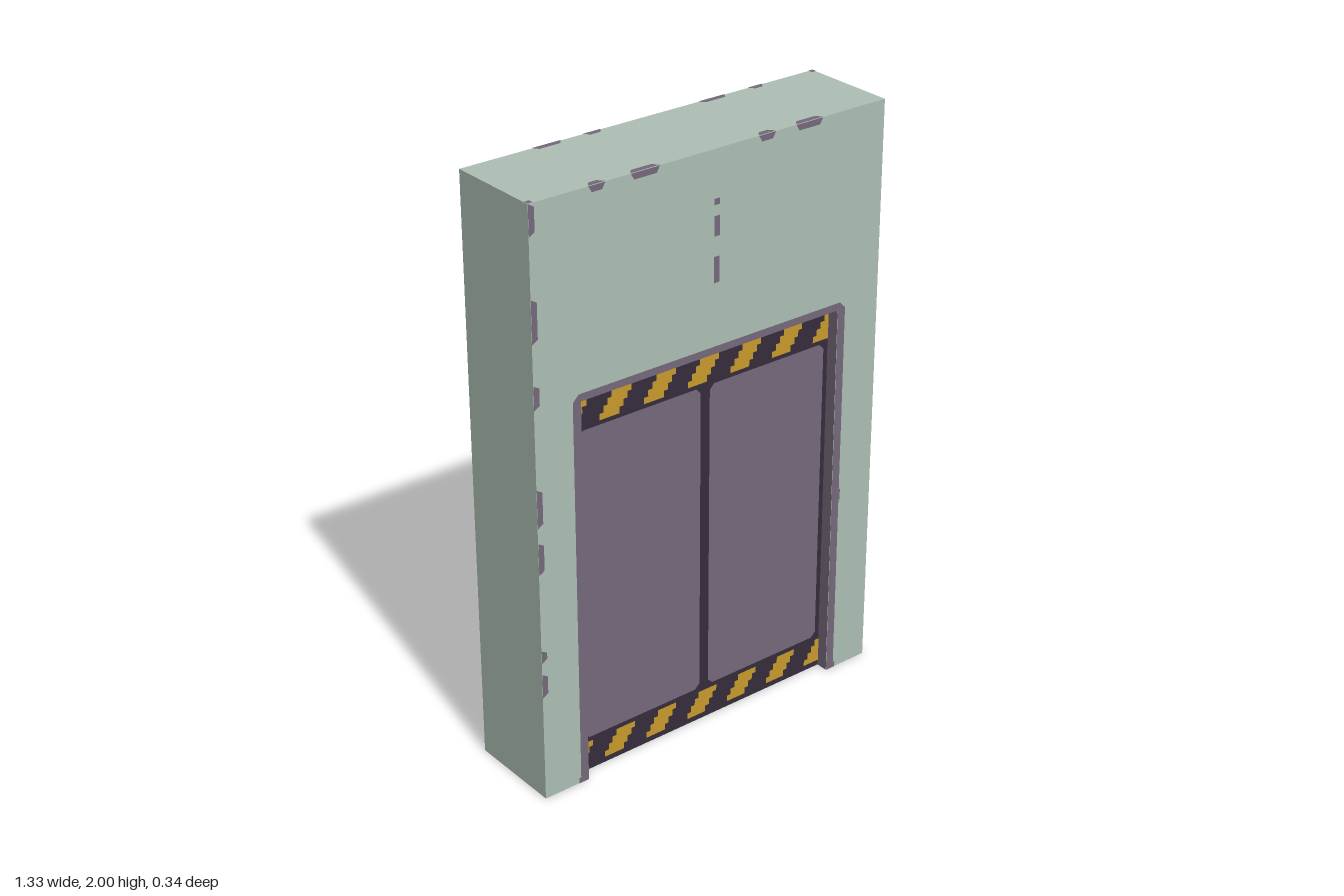
import * as THREE from 'three';

const W = 0.6667, H = 2, D = 0.1667;       // half width, height, half depth
const OPEN = 0.5, TOP = 1.34, RECESS = 0.042, LIFT = 0.0015;

const mat = (name, color) => {
  const m = new THREE.MeshStandardMaterial({ color });
  m.name = name;
  return m;
};

export function createModel() {
  const plaster = mat('pale green wall', 0xaebfb5);
  const purple = mat('purple metal', 0x75697c);
  const dark = mat('dark metal', 0x352d3c);
  const yellow = mat('hazard yellow', 0xc89a2b);

  const model = new THREE.Group();
  model.name = 'doorWall';

  const box = (name, x0, x1, y0, y1, halfDepth, material) => {
    const mesh = new THREE.Mesh(new THREE.BoxGeometry(x1 - x0, y1 - y0, halfDepth * 2), material);
    mesh.position.set((x0 + x1) / 2, (y0 + y1) / 2, 0);
    mesh.name = name;
    model.add(mesh);
  };

  // Wall around the opening; undersides and reveals are bare metal
  box('rightPier', -W, -OPEN, 0, H, D, [purple, plaster, plaster, purple, plaster, plaster]);
  box('leftPier', OPEN, W, 0, H, D, [plaster, purple, plaster, purple, plaster, plaster]);
  box('lintel', -OPEN, OPEN, TOP, H, D, [plaster, plaster, plaster, purple, plaster, plaster]);
  box('doorSlab', -OPEN, OPEN, 0, TOP, D - RECESS, dark);

  const polygon = (points) => new THREE.Shape(points.map(([x, y]) => new THREE.Vector2(x, y)));
  const rect = (x0, x1, y0, y1) => polygon([[x0, y0], [x1, y0], [x1, y1], [x0, y1]]);
  // Rectangle with cut corners
  const cutRect = (x0, x1, y0, y1, c) => polygon([
    [x0 + c, y0], [x1 - c, y0], [x1, y0 + c], [x1, y1 - c],
    [x1 - c, y1], [x0 + c, y1], [x0, y1 - c], [x0, y0 + c]]);

  const plate = (side, name, shapes, material, z) => {
    const mesh = new THREE.Mesh(new THREE.ShapeGeometry(shapes), material);
    mesh.position.z = z;
    mesh.name = name;
    side.add(mesh);
    return mesh;
  };

  // Stair-stepped slanted stripes in one horizontal band
  const hazardBand = (y0) => {
    const shapes = [], rowH = 0.0215;
    for (let i = -1; i < 6; i++) {
      for (let row = 0; row < 4; row++) {
        const x = -0.404 + i * 0.168 + row * 0.0155;
        const x0 = Math.max(x, -OPEN), x1 = Math.min(x + 0.075, OPEN);
        if (x1 > x0) shapes.push(rect(x0, x1, y0 + row * rowH, y0 + (row + 1) * rowH));
      }
    }
    return shapes;
  };

  const topChips = [[-0.46, -0.4], [-0.31, -0.205], [0.165, 0.23], [0.31, 0.415]];
  const edgeChips = [[1.9, 2], [1.57, 1.71], [1.36, 1.44], [0.97, 1.1], [0.81, 0.92], [0.5, 0.545], [0.375, 0.46]];
  const cracks = [[1.825, 1.845], [1.725, 1.79], [1.575, 1.66]];

  // Both faces carry the same door, turned half way round
  for (const [name, turn] of [['frontFace', 0], ['backFace', Math.PI]]) {
    const side = new THREE.Group();
    side.name = name;
    side.rotation.y = turn;
    model.add(side);
    const wallZ = D + LIFT, doorZ = D - RECESS + LIFT;

    // Door frame with cut upper corners, small feet and one dent
    const o = 0.53, t = 1.365, c = 0.022;
    plate(side, 'doorFrame', [
      polygon([[-o, 0], [-OPEN, 0], [-OPEN, TOP], [OPEN, TOP], [OPEN, 0], [o, 0],
        [o, t - c], [o - c, t], [c - o, t], [-o, t - c]]),
      rect(-o - 0.007, -o, 0, 0.02), rect(o, o + 0.007, 0, 0.02), rect(o, o + 0.005, 0.65, 0.69),
    ], purple, wallZ);

    // Sliding leaves and hazard bands
    plate(side, 'doorLeaves', [-1, 1].map((s) =>
      cutRect(Math.min(s * 0.018, s * 0.482), Math.max(s * 0.018, s * 0.482), 0.122, 1.215, 0.018)), purple, doorZ);
    plate(side, 'hazardStripes', [...hazardBand(0.02), ...hazardBand(1.229)], yellow, doorZ);

    // Worn paint on the face
    plate(side, 'wornPaint', [
      ...topChips.map(([a, b]) => polygon([[a, H], [a + 0.012, H - 0.02], [b - 0.012, H - 0.02], [b, H]])),
      ...edgeChips.map(([a, b]) => polygon([[-W, a], [-W + 0.02, a + 0.012], [-W + 0.02, b - 0.012], [-W, b]])),
      ...cracks.map(([a, b]) => rect(-0.003, 0.018, a, b)),
    ], purple, wallZ);

    // Matching wear on the top surface
    const chips = plate(side, 'wornTopEdge', [
      ...topChips.map(([a, b]) => polygon([[a, 0], [b, 0], [b - 0.015, 0.02], [a + 0.015, 0.02]])),
      rect(-W, -W + 0.018, 0, 0.018),
    ], purple, D);
    chips.rotation.x = -Math.PI / 2;
    chips.position.y = H + LIFT;
  }
  return model;
}
